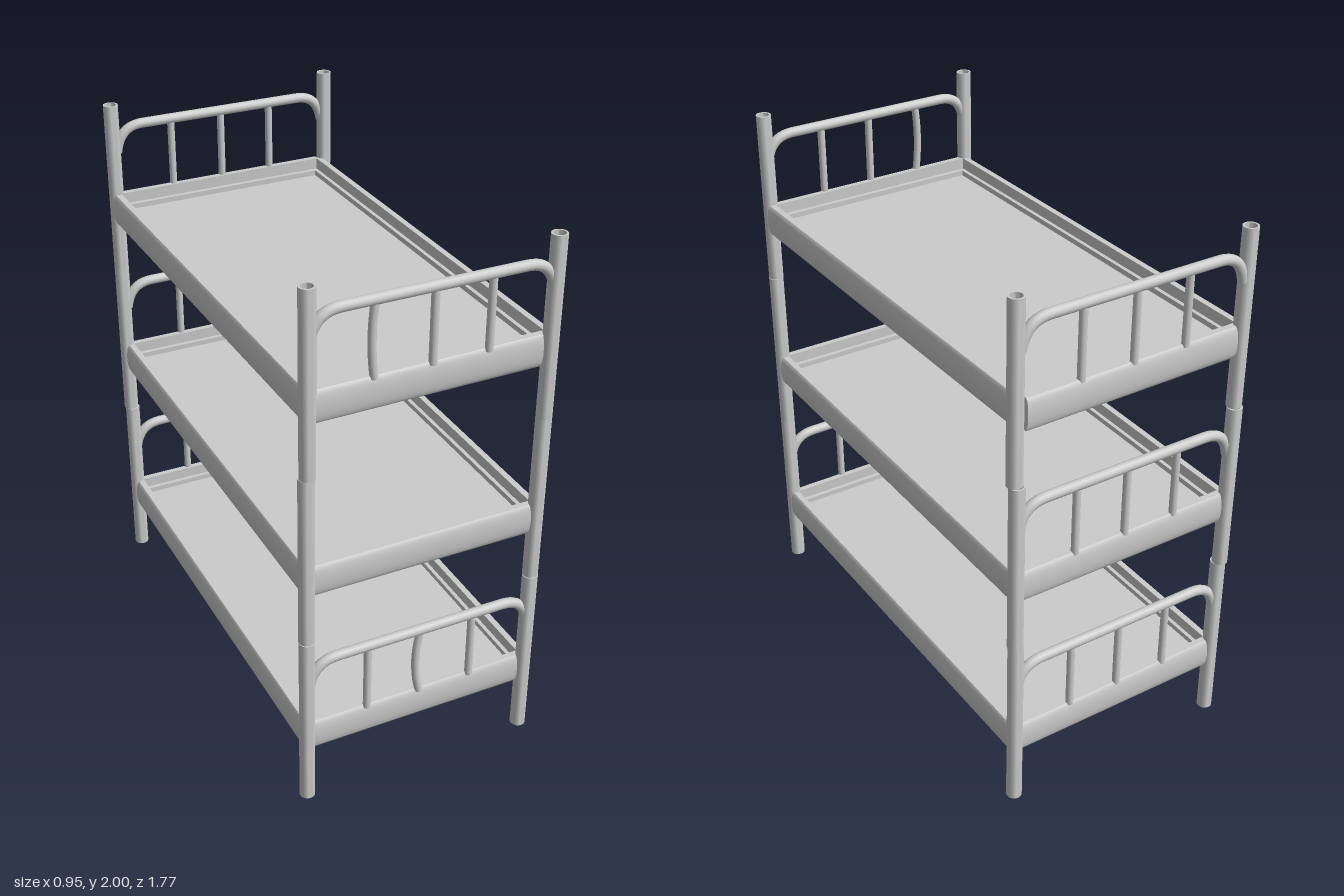
import * as THREE from 'three';
import { toCreasedNormals } from 'three/addons/utils/BufferGeometryUtils.js';

const metal = new THREE.MeshStandardMaterial({ color: 0xcccccc });
const V = (x, y, z = 0) => new THREE.Vector3(x, y, z);

function add(parent, geometry, name, x = 0, y = 0, z = 0) {
  const mesh = new THREE.Mesh(geometry, metal);
  mesh.name = name;
  mesh.position.set(x, y, z);
  parent.add(mesh);
  return mesh;
}

// Hollow upright tube, open at both ends
function postGeometry(height, radius = 0.028, bore = 0.021) {
  const profile = [[bore, 0], [radius, 0], [radius, height], [bore, height], [bore, 0]]
    .map(([r, y]) => new THREE.Vector2(r, y));
  return toCreasedNormals(new THREE.LatheGeometry(profile, 20), 0.7);
}

// Frame rail with a bulging outer face; +x is outward, length runs along z
function railGeometry(length) {
  const s = new THREE.Shape();
  s.moveTo(-0.035, 0);
  s.lineTo(-0.012, 0);
  s.bezierCurveTo(0.004, 0.01, 0.004, 0.108, -0.012, 0.118);
  s.lineTo(-0.035, 0.118);
  s.closePath();
  const g = new THREE.ExtrudeGeometry(s, { depth: length, bevelEnabled: false, curveSegments: 10 });
  g.translate(0, 0, -length / 2);
  return toCreasedNormals(g, 0.6);
}

// One bunk: four rails, a stepped ledge and the base panel
function makeBunk(name, y) {
  const bunk = new THREE.Group();
  bunk.name = name;
  bunk.position.y = y;
  for (let k = 0; k < 4; k++) {
    const side = k % 2 === 0;
    const out = side ? 0.455 : 0.868;
    const a = k * Math.PI / 2;
    const rail = add(bunk, railGeometry(side ? 1.68 : 0.85), side ? 'sideRail' : 'endRail',
      Math.cos(a) * out, 0, -Math.sin(a) * out);
    rail.rotation.y = a;
  }
  add(bunk, new THREE.BoxGeometry(0.85, 0.045, 1.68), 'basePanel', 0, 0.032, 0);
  for (const s of [-1, 1]) {
    add(bunk, new THREE.BoxGeometry(0.018, 0.02, 1.66), 'sideLedge', s * 0.414, 0.065, 0);
    add(bunk, new THREE.BoxGeometry(0.82, 0.02, 0.018), 'endLedge', 0, 0.065, s * 0.824);
  }
  return bunk;
}

// Rounded hoop with three bars; bends bow individual bars sideways
function makeHeadboard(name, y, z, bends = [0, 0, 0]) {
  const board = new THREE.Group();
  board.name = name;
  board.position.set(0, y, z);
  const top = 0.262;
  const path = new THREE.CurvePath();
  path.add(new THREE.CubicBezierCurve3(V(-0.43, top - 0.1), V(-0.418, top - 0.03), V(-0.385, top), V(-0.32, top)));
  path.add(new THREE.LineCurve3(V(-0.32, top), V(0.32, top)));
  path.add(new THREE.CubicBezierCurve3(V(0.32, top), V(0.385, top), V(0.418, top - 0.03), V(0.43, top - 0.1)));
  add(board, new THREE.TubeGeometry(path, 60, 0.019, 14), 'hoop');
  [-0.208, -0.002, 0.202].forEach((x, i) => {
    const curve = new THREE.QuadraticBezierCurve3(V(x, -0.01), V(x + bends[i], top / 2), V(x, top));
    add(board, new THREE.TubeGeometry(curve, 10, 0.014, 12), 'bar', 0, 0, 0);
  });
  return board;
}

export function createModel() {
  const model = new THREE.Group();
  model.name = 'tripleBunkBed';

  // Posts in three stacked sections, each slightly out of line with the next
  const sections = [
    { y: 0, h: 0.685, left: -0.44, right: 0.433, front: 0.859, back: -0.852, skew: 0 },
    { y: 0.685, h: 0.65, left: -0.441, right: 0.437, front: 0.855, back: -0.857, skew: 0.002 },
    { y: 1.335, h: 0.665, left: -0.441, right: 0.438, front: 0.858, back: -0.848, skew: 0.005 },
  ];
  for (const s of sections) {
    for (const x of [s.left, s.right]) {
      add(model, postGeometry(s.h), 'frontPost', x + (x < 0 ? s.skew : -s.skew), s.y, s.front);
      add(model, postGeometry(s.h), 'backPost', x + (x < 0 ? -s.skew : s.skew), s.y, s.back);
    }
  }

  // Bunks, the top one turned a little in its posts
  const levels = [['lowerBunk', 0.206], ['middleBunk', 0.868], ['upperBunk', 1.529]];
  levels.forEach(([name, y], i) => {
    const bunk = makeBunk(name, y);
    if (i === 2) {
      bunk.rotation.y = 0.01;
      bunk.position.x = -0.005;
    }
    model.add(bunk);
    model.add(makeHeadboard('backHeadboard', y + 0.118, -0.852));
  });

  // Front end: no hoop on the middle bunk, two bars bent out of shape
  model.add(makeHeadboard('lowerFootboard', 0.324, 0.857, [0, -0.035, 0]));
  model.add(makeHeadboard('upperFootboard', 1.647, 0.857, [-0.02, 0, 0]));
  return model;
}
